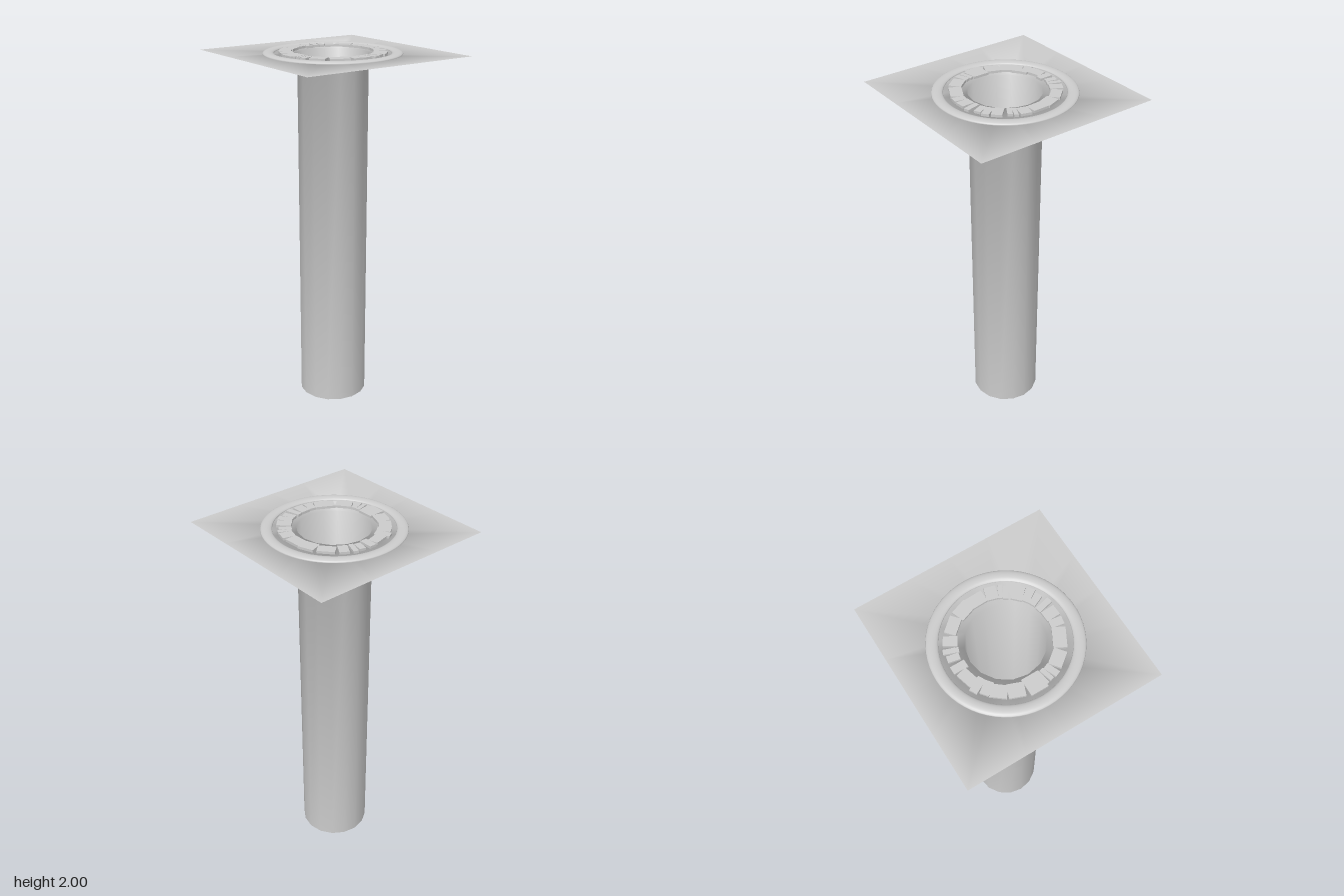
import * as THREE from 'three';

const SIDES = 16, SHAFT_R = 0.192, HALF = 0.515, GROUND_Y = 1.987;

const grey = new THREE.MeshStandardMaterial({ color: 0xcccccc });
const sheetGrey = new THREE.MeshStandardMaterial({ color: 0xcccccc, side: THREE.DoubleSide });

function addMesh(parent, name, geometry, material = grey) {
  const mesh = new THREE.Mesh(geometry, material);
  mesh.name = name;
  parent.add(mesh);
  return mesh;
}

// Three loops: shaft bottom, shaft lip, square ground border; faces look up and inward
function groundAndShaftGeometry() {
  const positions = [], index = [];
  for (let loop = 0; loop < 3; loop++) {
    for (let i = 0; i < SIDES; i++) {
      const a = (i / SIDES) * Math.PI * 2;
      const c = Math.cos(a), s = Math.sin(a);
      const r = loop < 2 ? SHAFT_R : HALF / Math.max(Math.abs(c), Math.abs(s));
      positions.push(c * r, loop === 0 ? 0 : GROUND_Y, s * r);
    }
  }
  for (let loop = 0; loop < 2; loop++) {
    for (let i = 0; i < SIDES; i++) {
      const a = loop * SIDES + i, b = loop * SIDES + (i + 1) % SIDES;
      index.push(a, b, a + SIDES, b, b + SIDES, a + SIDES);
    }
  }
  const g = new THREE.BufferGeometry();
  g.setAttribute('position', new THREE.Float32BufferAttribute(positions, 3));
  g.setIndex(index);
  g.computeVertexNormals();
  return g;
}

// Paving stones: [degrees clockwise from the back, width, inner radius, outer radius]
const STONES = [
  [0, 0.04, 0.213, 0.287], [12, 0.034, 0.225, 0.285], [20, 0.026, 0.22, 0.295],
  [31, 0.05, 0.222, 0.29], [49, 0.09, 0.228, 0.285], [70, 0.085, 0.218, 0.285],
  [88, 0.09, 0.218, 0.28], [106, 0.058, 0.22, 0.288], [116, 0.022, 0.22, 0.29],
  [122, 0.026, 0.215, 0.28], [135, 0.055, 0.215, 0.29], [146, 0.04, 0.22, 0.295],
  [155, 0.036, 0.22, 0.285], [166, 0.03, 0.215, 0.295], [178, 0.055, 0.215, 0.285],
  [190, 0.042, 0.22, 0.285], [208, 0.105, 0.215, 0.28], [232, 0.085, 0.22, 0.285],
  [247, 0.032, 0.22, 0.29], [254, 0.022, 0.215, 0.285], [260, 0.018, 0.21, 0.285],
  [270, 0.09, 0.203, 0.293], [291, 0.08, 0.215, 0.285], [309, 0.08, 0.22, 0.285],
  [322, 0.045, 0.215, 0.285], [332, 0.04, 0.215, 0.295], [345, 0.085, 0.225, 0.28],
];

export function createModel() {
  const model = new THREE.Group();
  model.name = 'stoneRimmedShaft';

  // Ground sheet running smoothly into the shaft wall
  addMesh(model, 'groundAndShaft', groundAndShaftGeometry(), sheetGrey);

  // Shaft floor
  const floor = new THREE.CircleGeometry(SHAFT_R, SIDES).rotateX(-Math.PI / 2);
  addMesh(model, 'shaftFloor', floor, sheetGrey);

  // Low flattened rim
  const rim = new THREE.TorusGeometry(0.342, 0.03, 16, 64)
    .rotateX(Math.PI / 2).scale(1, 0.4, 1);
  addMesh(model, 'rim', rim).position.y = GROUND_Y;

  // Ring of irregular stones between the shaft and the rim
  const stones = new THREE.Group();
  stones.name = 'stoneRing';
  for (const [degrees, width, inner, outer] of STONES) {
    const a = THREE.MathUtils.degToRad(degrees), r = (inner + outer) / 2;
    const stone = addMesh(stones, 'stone', new THREE.BoxGeometry(width, 0.024, outer - inner));
    stone.position.set(Math.sin(a) * r, 1.988, -Math.cos(a) * r);
    stone.rotation.y = -a;
  }
  model.add(stones);
  return model;
}
